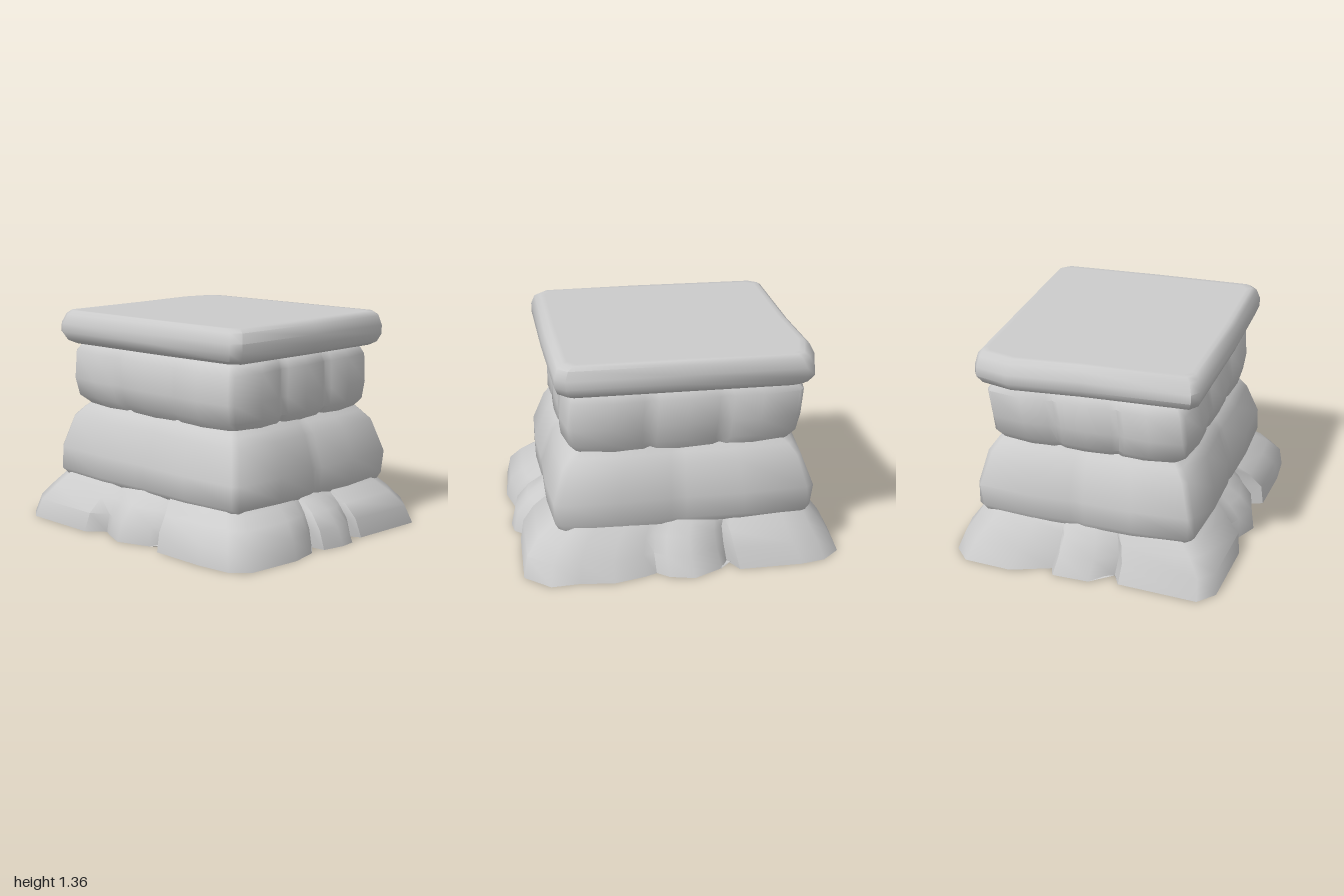
import * as THREE from 'three';
import { toCreasedNormals } from 'three/addons/utils/BufferGeometryUtils.js';

// Outline of the ragged base stones, walked clockwise seen from above (x, z)
const BASE = [
  -0.98, -0.70, -0.87, -0.80, -0.72, -0.83, -0.33, -0.83, -0.27, -0.71, -0.22, -0.80, -0.04, -0.89,
  0.11, -0.85, 0.18, -0.79, 0.25, -0.82, 0.45, -0.87, 0.65, -0.84, 0.83, -0.85, 0.98, -0.71,
  0.96, -0.22, 0.90, -0.19, 0.99, -0.10, 1.00, 0.00, 0.97, 0.14, 0.88, 0.15, 0.96, 0.24,
  1.00, 0.42, 0.97, 0.77, 0.87, 0.86, 0.65, 0.88, 0.29, 0.87, 0.24, 0.75, 0.17, 0.82,
  -0.04, 0.89, -0.18, 0.83, -0.25, 0.79, -0.36, 0.88, -0.86, 0.87, -0.97, 0.78,
  -0.94, 0.28, -0.85, 0.23, -0.97, 0.10, -0.97, -0.13, -0.90, -0.16, -1.00, -0.40,
];

// Outline of the slightly uneven cap slab, same order
const CAP = [
  -0.80, -0.66, -0.75, -0.69, 0.00, -0.70, 0.71, -0.71, 0.77, -0.65, 0.785, 0.00, 0.785, 0.64,
  0.73, 0.69, 0.10, 0.71, -0.74, 0.71, -0.80, 0.67, -0.82, 0.00, -0.855, -0.45,
];

// Scales a flat list of x, z pairs to the unit square
function unitOutline(list, centreX, halfX, halfZ) {
  const pts = [];
  for (let i = 0; i < list.length; i += 2) pts.push([(list[i] - centreX) / halfX, list[i + 1] / halfZ]);
  return pts;
}

// Unit square with slightly bowed sides, cut corners and shallow joints.
// Sides run back, left (+x), front, right, with joints measured along the walk.
function stoneOutline(joints, depth, corner, inset) {
  const pts = [];
  for (let side = 0; side < 4; side++) {
    const row = [[-1 + corner, 1 - inset]];
    let start = -1 + corner;
    for (const j of joints[side]) {
      row.push([(start + j) / 2, 1], [j - 0.06, 0.99], [j, 1 - depth], [j + 0.06, 0.99]);
      start = j;
    }
    row.push([(start + 1 - corner) / 2, 1], [1 - corner, 1 - inset]);
    for (const [t, d] of row) {
      pts.push([[t, -d], [d, t], [-t, d], [-d, -t]][side]);
    }
  }
  return pts;
}

// Joins outlines stacked by level: [y, xMin, xMax, zMin, zMax, roughness].
// Roughness 0 flattens the outline to a plain rectangle.
function loft(name, outline, levels, { jitter = 0, tilt = 0, crease = 0.9 } = {}) {
  const n = outline.length;
  const position = [];
  const index = [];
  levels.forEach(([y, x0, x1, z0, z1, rough = 1], l) => {
    outline.forEach(([u, v], i) => {
      const k = rough + (1 - rough) / Math.max(Math.abs(u), Math.abs(v));
      const scale = k * (1 + jitter * Math.sin(i * 12.9 + l * 2.3));
      const x = (x0 + x1) / 2 + ((x1 - x0) / 2) * u * scale;
      const z = (z0 + z1) / 2 + ((z1 - z0) / 2) * v * scale;
      position.push(x, y + tilt * (x + z), z);
    });
  });
  for (let l = 0; l < levels.length - 1; l++) {
    for (let i = 0; i < n; i++) {
      const a = l * n + i;
      const b = l * n + ((i + 1) % n);
      index.push(a, a + n, b + n, a, b + n, b);
    }
  }
  const geometry = new THREE.BufferGeometry();
  geometry.setAttribute('position', new THREE.Float32BufferAttribute(position, 3));
  geometry.setIndex(index);
  const material = new THREE.MeshStandardMaterial({ color: 0xcccccc, side: THREE.DoubleSide });
  const mesh = new THREE.Mesh(toCreasedNormals(geometry, crease), material);
  mesh.name = name;
  return mesh;
}

export function createModel() {
  const group = new THREE.Group();
  group.name = 'stonePedestal';

  // Flared base course with a narrow lip under its rim, open below
  group.add(loft('baseCourse', unitOutline(BASE, 0, 1, 0.89), [
    [0.01, -0.94, 0.94, -0.83, 0.83, 0.5],
    [0.00, -1.00, 1.00, -0.89, 0.89],
    [0.12, -0.94, 0.97, -0.83, 0.87, 0.85],
    [0.21, -0.87, 0.89, -0.75, 0.79, 0.65],
    [0.27, -0.82, 0.80, -0.695, 0.72, 0.4],
    [0.30, -0.78, 0.76, -0.66, 0.68, 0.2],
  ]));

  // Tall tapering middle course with one faint joint per side
  group.add(loft('middleCourse', stoneOutline([[0.05], [0], [0], [0.05]], 0.022, 0.07, 0.025), [
    [0.27, -0.80, 0.77, -0.67, 0.69],
    [0.31, -0.83, 0.80, -0.69, 0.72],
    [0.45, -0.835, 0.80, -0.70, 0.72],
    [0.65, -0.765, 0.735, -0.645, 0.655],
    [0.71, -0.72, 0.685, -0.605, 0.61],
    [0.76, -0.66, 0.62, -0.56, 0.55],
  ], { jitter: 0.006, crease: 1.1 }));

  // Upper course with three stones per side
  const thirds = [-0.32, 0.3];
  group.add(loft('upperCourse', stoneOutline([thirds, thirds, [-0.28, 0.35], thirds], 0.035, 0.08, 0.04), [
    [0.72, -0.68, 0.64, -0.57, 0.57],
    [0.79, -0.75, 0.70, -0.61, 0.64],
    [0.90, -0.77, 0.705, -0.625, 0.66],
    [1.07, -0.78, 0.695, -0.64, 0.645],
    [1.12, -0.74, 0.67, -0.61, 0.61],
    [1.15, -0.68, 0.62, -0.57, 0.56],
  ], { jitter: 0.005, crease: 1.0 }));

  // Thick cap slab, rounded at the rim and slightly tilted
  group.add(loft('capSlab', unitOutline(CAP, -0.035, 0.82, 0.71), [
    [1.128, -0.04, -0.04, 0, 0],
    [1.128, -0.73, 0.67, -0.61, 0.62],
    [1.128, -0.77, 0.71, -0.64, 0.65],
    [1.150, -0.82, 0.75, -0.675, 0.69],
    [1.200, -0.855, 0.77, -0.70, 0.71],
    [1.255, -0.85, 0.77, -0.70, 0.71],
    [1.315, -0.82, 0.75, -0.69, 0.69],
    [1.338, -0.79, 0.715, -0.67, 0.665],
    [1.338, -0.76, 0.685, -0.64, 0.635],
    [1.338, -0.04, -0.04, 0, 0],
  ], { tilt: 0.014 }));

  return group;
}
